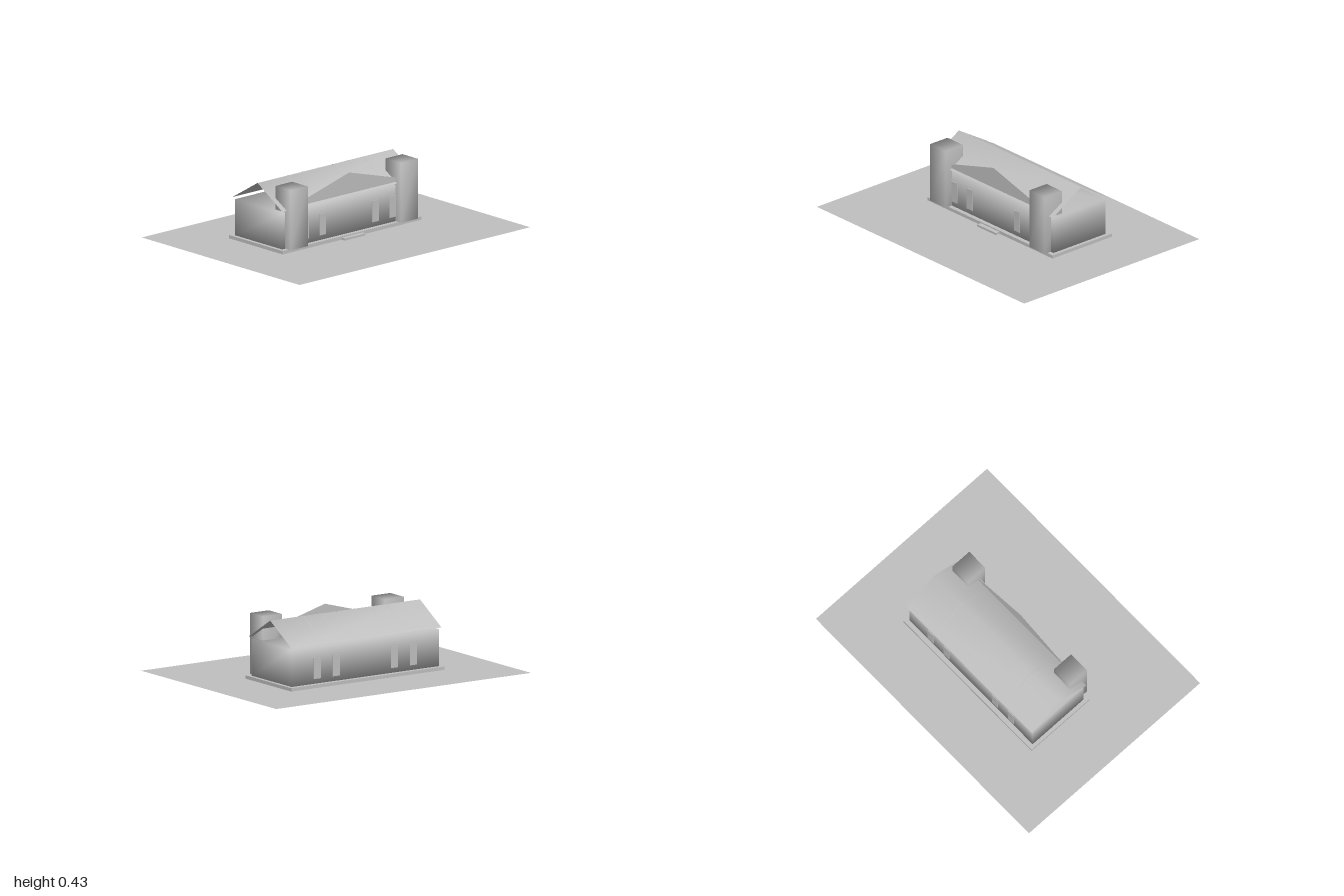
import * as THREE from 'three';
import { mergeVertices } from 'three/addons/utils/BufferGeometryUtils.js';

const grey = new THREE.MeshStandardMaterial({ color: 0xc0c0c0, side: THREE.DoubleSide });
grey.name = 'plain grey';

export function createModel() {
  const model = new THREE.Group();
  model.name = 'house';

  const add = (name, geometry) => {
    const mesh = new THREE.Mesh(geometry, grey);
    mesh.name = name;
    model.add(mesh);
    return mesh;
  };

  // Box given by its limits; soft boxes share normals across their corners
  const box = (name, x0, x1, y0, y1, z0, z1, soft = false) => {
    let g = new THREE.BoxGeometry(x1 - x0, y1 - y0, z1 - z0);
    if (soft) {
      g.deleteAttribute('normal');
      g.deleteAttribute('uv');
      g = mergeVertices(g);
      g.computeVertexNormals();
    }
    g.translate((x0 + x1) / 2, (y0 + y1) / 2, (z0 + z1) / 2);
    return add(name, g);
  };

  // Open gable sheet: front eave, ridge, back eave
  const gable = (name, x0, x1, lift) => {
    const p = [];
    for (const [y, z] of [[0.277, 0.138], [0.421, -0.101], [0.277, -0.34]]) {
      p.push(x0, y + lift, z, x1, y + lift, z);
    }
    const g = new THREE.BufferGeometry();
    g.setAttribute('position', new THREE.Float32BufferAttribute(p, 3));
    g.setIndex([0, 1, 3, 0, 3, 2, 2, 3, 5, 2, 5, 4]);
    g.computeVertexNormals();
    return add(name, g);
  };

  // Ground sheet
  const ground = new THREE.PlaneGeometry(2, 1.5);
  ground.rotateX(-Math.PI / 2);
  add('ground', ground);

  // Plinth, entrance step and walls
  box('plinth', -0.602, 0.602, 0.001, 0.023, -0.355, 0.153);
  box('entranceStep', -0.09, 0.09, 0.001, 0.015, 0.15, 0.184);
  box('walls', -0.578, 0.578, 0.023, 0.265, -0.324, 0.123, true);

  // Roof with flat seams
  gable('roof', -0.588, 0.588, 0);
  for (const x of [-0.326, -0.196, -0.065, 0.065, 0.196, 0.326]) {
    gable('roofSeam', x - 0.004, x + 0.004, 0.001);
  }

  // Thin pediment between the towers
  const outline = new THREE.Shape([
    [-0.41, 0.28], [0.41, 0.28], [0.41, 0.312], [0, 0.425], [-0.41, 0.312],
  ].map(([x, y]) => new THREE.Vector2(x, y)));
  const pediment = new THREE.ExtrudeGeometry(outline, { depth: 0.003, bevelEnabled: false });
  add('pediment', pediment).position.z = 0.121;

  // Front towers, and window plates on the front and back walls
  for (const s of [-1, 1]) {
    const cx = s * 0.478;
    box('tower', cx - 0.074, cx + 0.074, 0.023, 0.421, 0.028, 0.176, true);
    for (const d of [0.228, 0.377]) {
      const x = s * d;
      box('frontWindow', x - 0.027, x + 0.027, 0.055, 0.197, 0.123, 0.127);
      box('backWindow', x - 0.027, x + 0.027, 0.055, 0.193, -0.328, -0.324);
    }
  }
  return model;
}
